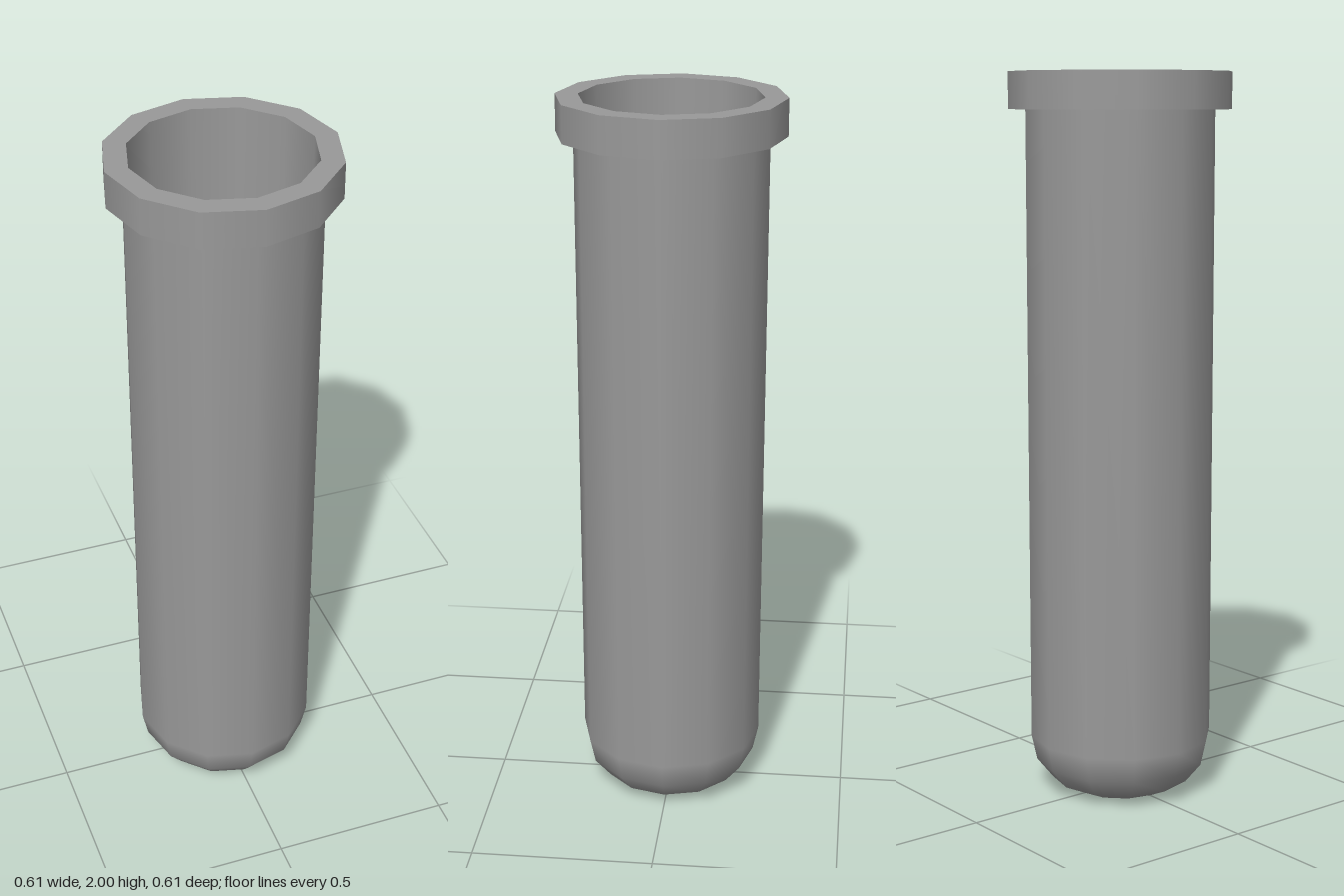
import * as THREE from 'three';

const SIDES = 12;

export function createModel() {
  const group = new THREE.Group();
  const material = new THREE.MeshStandardMaterial({ color: 0x999999 });

  // Each smooth stretch of the profile is its own lathe, so the edges between them stay sharp
  const lathe = (name, profile) => {
    const points = profile.map(([r, y]) => new THREE.Vector2(r, y));
    const geometry = new THREE.LatheGeometry(points, SIDES);
    geometry.normalizeNormals();
    const mesh = new THREE.Mesh(geometry, material);
    mesh.name = name;
    group.add(mesh);
  };

  // Outer wall with rounded bottom
  lathe('outerWall', [
    [0, 0], [0.135, 0.002], [0.195, 0.03], [0.24, 0.085], [0.2555, 0.155], [0.2587, 1.9],
  ]);

  // Collar around the mouth
  lathe('collarUnderside', [[0.2587, 1.9], [0.305, 1.9]]);
  lathe('collarSide', [[0.305, 1.9], [0.305, 2]]);
  lathe('collarTop', [[0.305, 2], [0.244, 2]]);

  // Hollow inside: slightly tapered wall, then the rounded floor
  lathe('innerWall', [[0.244, 2], [0.234, 0.13]]);
  lathe('innerFloor', [
    [0.234, 0.13], [0.188, 0.055], [0.12, 0.024], [0, 0.018],
  ]);

  return group;
}
